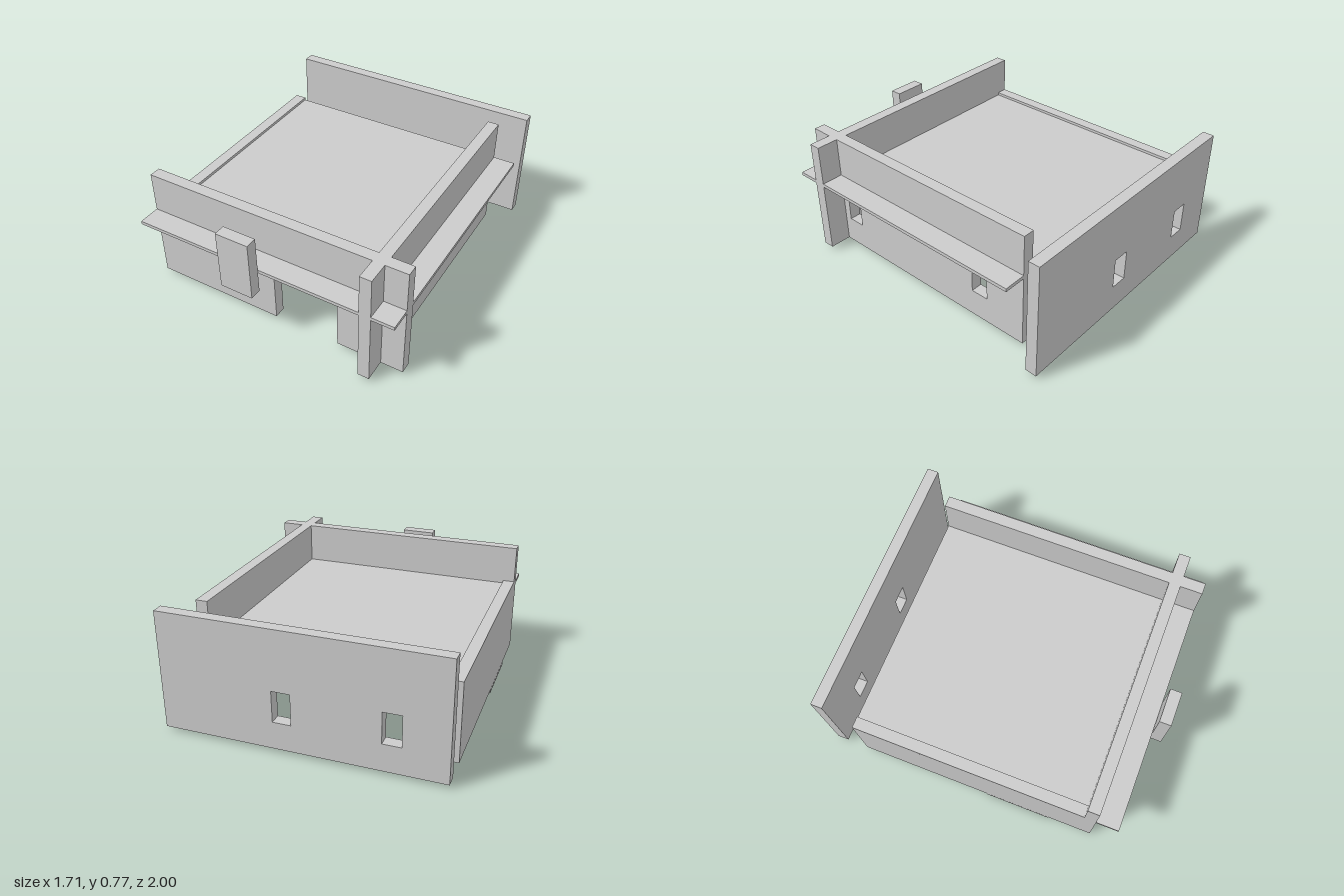
import * as THREE from 'three';

const WALL = 0.073, BASE = 0.025, TOP = 0.768;

export function createModel() {
  const group = new THREE.Group();
  const mat = new THREE.MeshStandardMaterial({ color: 0xcccccc, flatShading: true });

  const add = (name, geo) => {
    const mesh = new THREE.Mesh(geo, mat);
    mesh.name = name;
    group.add(mesh);
  };

  // box given by its limits on each axis
  const box = (name, [x0, x1], [y0, y1], [z0, z1]) =>
    add(name, new THREE.BoxGeometry(x1 - x0, y1 - y0, z1 - z0)
      .translate((x0 + x1) / 2, (y0 + y1) / 2, (z0 + z1) / 2));

  const polygon = (points) => new THREE.Shape(points.map(([x, y]) => new THREE.Vector2(x, y)));

  // upright panel with window holes, each starting at the given position
  const panel = (outline, windows) => {
    const shape = polygon(outline);
    for (const a of windows) {
      const b = a + 0.112;
      shape.holes.push(new THREE.Path([[a, 0.197], [a, 0.392], [b, 0.392], [b, 0.197]]
        .map(([x, y]) => new THREE.Vector2(x, y))));
    }
    return new THREE.ExtrudeGeometry(shape, { depth: WALL, bevelEnabled: false });
  };
  const rect = (a, b) => [[a, BASE], [b, BASE], [b, TOP], [a, TOP]];

  // front wall with doorway and one window
  add('frontWall', panel([
    [-0.855, BASE], [0, BASE], [0, 0.49], [0.427, 0.49], [0.427, BASE],
    [0.855, BASE], [0.855, TOP], [-0.855, TOP],
  ], [-0.382]).translate(0, 0, 0.711));

  // detached back wall with two windows
  add('backWall', panel(rect(-0.855, 0.855), [-0.59, 0.048]).translate(0, 0, -1));

  // side wall with two windows, crossing the front wall
  add('leftWall', panel(rect(-0.787, 0.924), [-0.522, 0.552])
    .rotateY(-Math.PI / 2).translate(0.714, 0, 0));

  // lower plain side wall
  box('rightWall', [-0.855, -0.782], [BASE, 0.53], [-0.787, 0.711]);

  // ceiling slab, overhanging the front and one side
  box('ceilingSlab', [-0.855, 0.855], [0.49, 0.512], [-0.787, 0.924]);

  // L-shaped floor plate (outline in x and z)
  const floor = polygon([
    [0.427, -0.355], [0.427, 0.5], [-0.855, 0.5], [-0.855, 0.073], [-0.428, 0.073], [-0.428, -0.355],
  ]);
  add('floorPlate', new THREE.ExtrudeGeometry(floor, { depth: 0.022, bevelEnabled: false })
    .rotateX(Math.PI / 2).translate(0, 0.022, 0));

  // free-standing door leaf in front
  box('doorPanel', [-0.214, 0], [0.358, 0.741], [0.927, 1]);

  return group;
}
